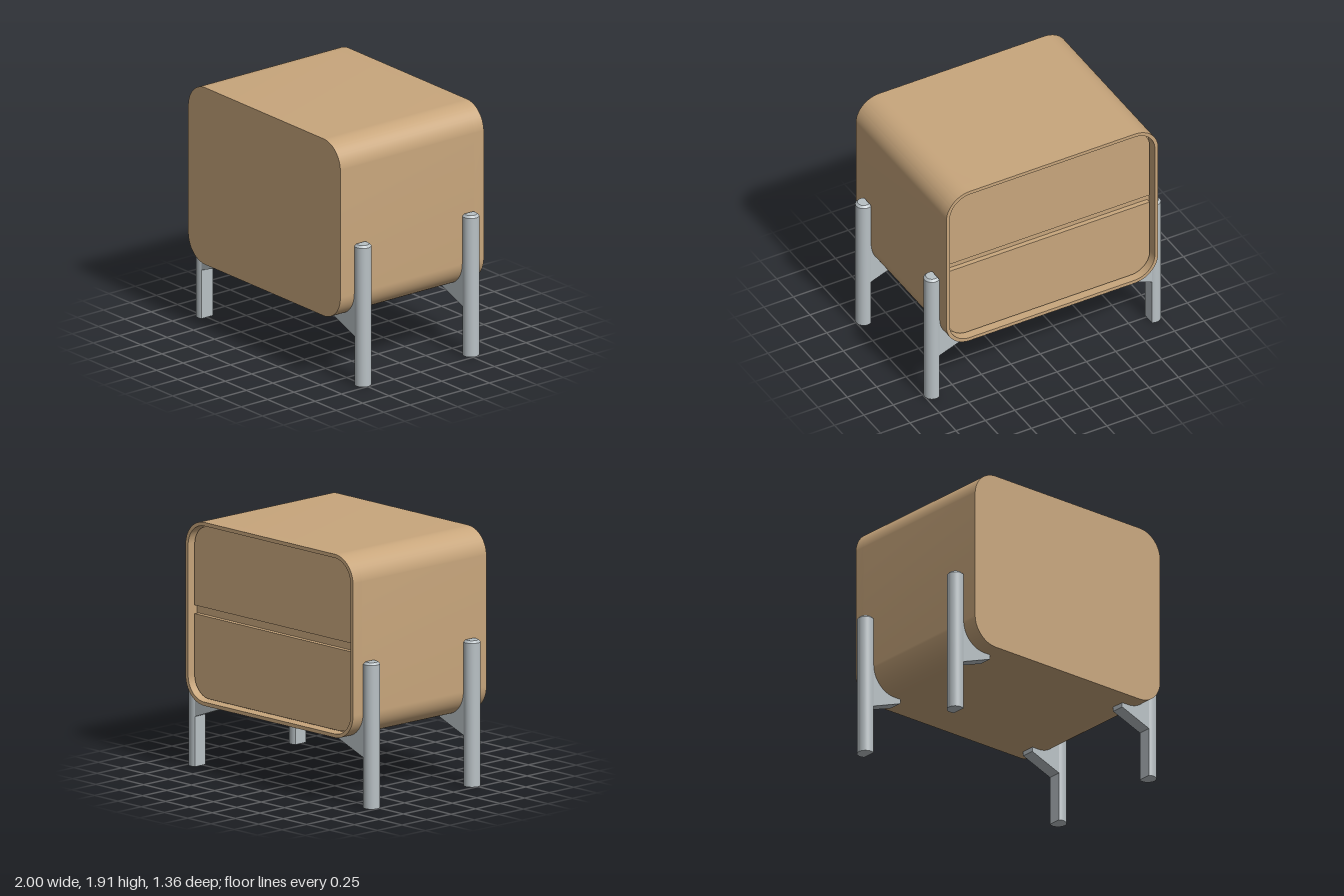
import * as THREE from 'three';
import { toCreasedNormals } from 'three/addons/utils/BufferGeometryUtils.js';

const HALF_W = 0.9, BOTTOM = 0.515, TOP = 1.91, HALF_D = 0.68, RADIUS = 0.2;

// Rectangle with separate radii for its bottom and top corners
function roundedRect(x0, y0, x1, y1, rBottom, rTop, Type = THREE.Shape) {
  const s = new Type();
  s.moveTo(x0 + rBottom, y0);
  s.lineTo(x1 - rBottom, y0);
  if (rBottom) s.absarc(x1 - rBottom, y0 + rBottom, rBottom, -Math.PI / 2, 0, false);
  s.lineTo(x1, y1 - rTop);
  if (rTop) s.absarc(x1 - rTop, y1 - rTop, rTop, 0, Math.PI / 2, false);
  s.lineTo(x0 + rTop, y1);
  if (rTop) s.absarc(x0 + rTop, y1 - rTop, rTop, Math.PI / 2, Math.PI, false);
  s.lineTo(x0, y0 + rBottom);
  if (rBottom) s.absarc(x0 + rBottom, y0 + rBottom, rBottom, Math.PI, Math.PI * 1.5, false);
  return s;
}

function extrude(shape, z0, z1) {
  const g = new THREE.ExtrudeGeometry(shape, { depth: z1 - z0, bevelEnabled: false, curveSegments: 16 });
  g.translate(0, 0, z0);
  return toCreasedNormals(g, Math.PI / 6);
}

export function createModel() {
  const model = new THREE.Group();
  model.name = 'nightstand';

  const wood = new THREE.MeshStandardMaterial({ color: 0xc8a67c });
  wood.name = 'wood';
  const metal = new THREE.MeshStandardMaterial({ color: 0xb9c1c5 });
  metal.name = 'grey metal';

  const add = (parent, name, geometry, material) => {
    const mesh = new THREE.Mesh(geometry, material);
    mesh.name = name;
    parent.add(mesh);
    return mesh;
  };

  // Cabinet: solid body plus a thin rim around the drawer opening
  const recessZ = -0.59;
  const outline = () => roundedRect(-HALF_W, BOTTOM, HALF_W, TOP, RADIUS, RADIUS);
  add(model, 'cabinetBody', extrude(outline(), recessZ, HALF_D), wood);

  const t = 0.028;
  const rim = outline();
  rim.holes.push(roundedRect(-HALF_W + t, BOTTOM + t, HALF_W - t, TOP - t,
    RADIUS - t, RADIUS - t, THREE.Path));
  add(model, 'cabinetRim', extrude(rim, -HALF_D, recessZ), wood);

  // Two drawer fronts with a finger groove between them
  const inset = t + 0.014, r = RADIUS - inset, x = HALF_W - inset;
  const drawerZ = -0.627;
  add(model, 'lowerDrawer',
    extrude(roundedRect(-x, BOTTOM + inset, x, 1.18, r, 0), drawerZ, recessZ), wood);
  add(model, 'upperDrawer',
    extrude(roundedRect(-x, 1.245, x, TOP - inset, 0, r), drawerZ, recessZ), wood);

  // Leg: round post with a flat inner side and a chamfered top
  const legX = 0.937, legR = 0.063, flatX = 0.903, shoulder = 1.093, legTop = 1.11;
  const a = Math.acos((flatX - legX) / legR);
  const section = new THREE.Shape();
  section.absarc(legX, 0, legR, -a, a, false);
  section.closePath();
  const shaftGeo = extrude(section, 0, shoulder).rotateX(-Math.PI / 2);

  const capRaw = new THREE.ExtrudeGeometry(section,
    { depth: legTop - shoulder, bevelEnabled: false, curveSegments: 16 });
  const p = capRaw.attributes.position;
  for (let i = 0; i < p.count; i++) {
    if (p.getZ(i) > 0.001) p.setXY(i, legX + (p.getX(i) - legX) * 0.74, p.getY(i) * 0.74);
  }
  const capGeo = toCreasedNormals(capRaw, Math.PI / 6).rotateX(-Math.PI / 2).translate(0, shoulder, 0);

  // Bracket: wedge that follows the rounded lower corner of the cabinet
  const wedge = new THREE.Shape();
  wedge.moveTo(0.908, 0.38);
  wedge.lineTo(0.908, BOTTOM + RADIUS);
  wedge.lineTo(HALF_W, BOTTOM + RADIUS);
  wedge.absarc(HALF_W - RADIUS, BOTTOM + RADIUS, RADIUS, 0, -Math.PI / 2, true);
  wedge.lineTo(0.642, BOTTOM);
  wedge.lineTo(0.642, 0.48);
  wedge.closePath();
  const bracketGeo = extrude(wedge, -0.052, 0.052);

  for (const [zName, z] of [['front', 0.497], ['back', -0.527]]) {
    for (const [xName, turn] of [['Left', 0], ['Right', Math.PI]]) {
      const leg = new THREE.Group();
      leg.name = `${zName}${xName}Leg`;
      add(leg, 'post', shaftGeo, metal);
      add(leg, 'postCap', capGeo, metal);
      add(leg, 'bracket', bracketGeo, metal);
      leg.rotation.y = turn;
      leg.position.z = z;
      model.add(leg);
    }
  }
  return model;
}
